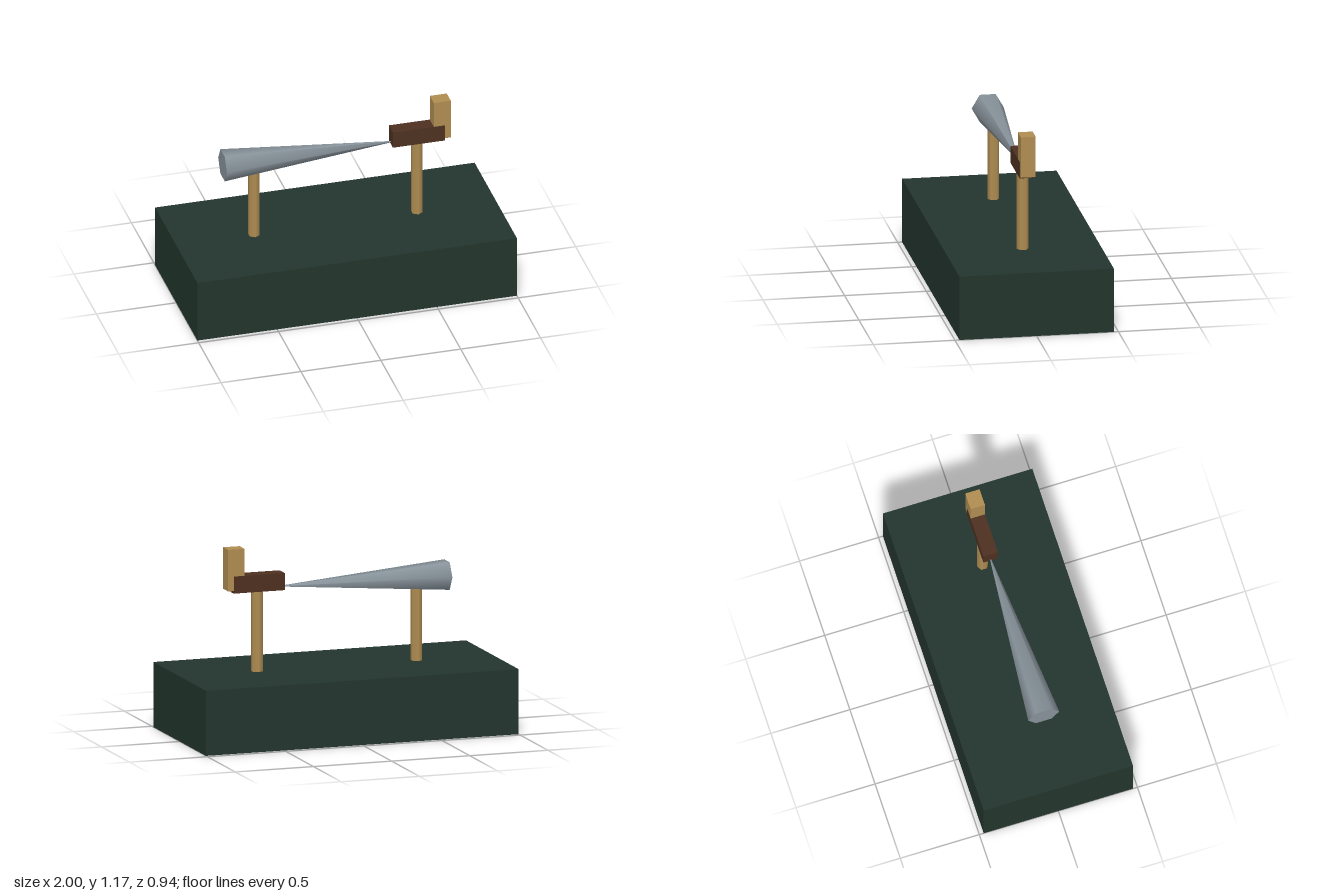
import * as THREE from 'three';

export function createModel() {
  const group = new THREE.Group();
  const material = (name, color) => {
    const m = new THREE.MeshStandardMaterial({ color });
    m.name = name;
    return m;
  };
  const green = material('dark green', 0x22352d);
  const wood = material('light wood', 0xb08d52);
  const brown = material('dark brown', 0x4d3020);
  const steel = material('steel grey', 0x87929a);

  const add = (name, geometry, mat, x, y, z = 0) => {
    const mesh = new THREE.Mesh(geometry, mat);
    mesh.name = name;
    mesh.position.set(x, y, z);
    group.add(mesh);
    return mesh;
  };

  // Plinth
  add('base', new THREE.BoxGeometry(2, 0.4, 0.945), green, 0, 0.2);

  // Two six-sided posts, running up into the parts they carry
  const postBottom = 0.39;
  for (const [name, x, top] of [['bladePost', -0.514, 0.88], ['gripPost', 0.506, 0.92]]) {
    const height = top - postBottom;
    add(name, new THREE.CylinderGeometry(0.036, 0.036, height, 6), wood, x, postBottom + height / 2);
  }

  // Six-sided tapering club, its tip buried in the grip
  const wide = -0.71, tip = 0.39;
  const club = add('taperedClub', new THREE.ConeGeometry(0.098, tip - wide, 6), steel, (wide + tip) / 2, 0.912);
  club.rotation.z = -Math.PI / 2;

  // Grip and upright end block
  add('grip', new THREE.BoxGeometry(0.326, 0.105, 0.092), brown, 0.507, 0.9475);
  add('endBlock', new THREE.BoxGeometry(0.106, 0.255, 0.091), wood, 0.653, 1.038);

  return group;
}
